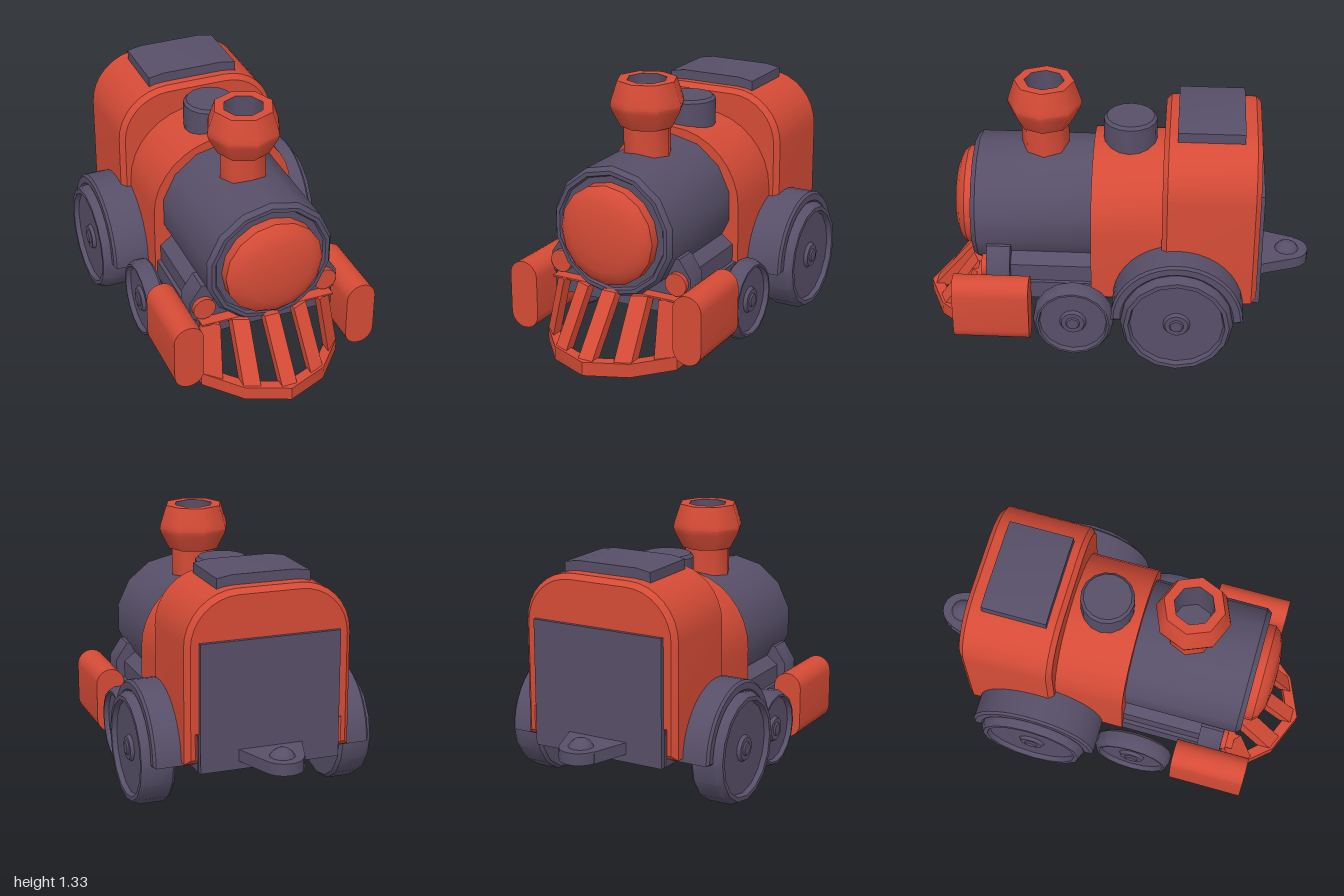
import * as THREE from 'three';
import { toCreasedNormals } from 'three/addons/utils/BufferGeometryUtils.js';

export function createModel() {
  const train = new THREE.Group();
  train.name = 'toyTrain';
  const red = new THREE.MeshStandardMaterial({ color: 0xd54b36 });
  red.name = 'red';
  const slate = new THREE.MeshStandardMaterial({ color: 0x574f68 });
  slate.name = 'slate';

  const add = (name, geo, mat, x = 0, y = 0, z = 0) => {
    const mesh = new THREE.Mesh(geo, mat);
    mesh.name = name;
    mesh.position.set(x, y, z);
    train.add(mesh);
    return mesh;
  };
  const box = (w, h, d) => new THREE.BoxGeometry(w, h, d);
  const lathe = (pts, sides, crease = 0.6) => toCreasedNormals(
    new THREE.LatheGeometry(pts.map(p => new THREE.Vector2(...p)), sides), crease);
  const polygon = pts => new THREE.Shape(pts.map(p => new THREE.Vector2(...p)));
  const mirrored = half => [...half, ...half.filter(p => p[0] !== 0).reverse().map(([x, y]) => [-x, y])];
  const extrude = (shape, depth, bevel = 0, curveSegments = 4) => {
    const geo = new THREE.ExtrudeGeometry(shape, {
      depth: depth - 2 * bevel, curveSegments, bevelEnabled: bevel > 0,
      bevelThickness: bevel, bevelSize: bevel, bevelOffset: -bevel, bevelSegments: 1,
    });
    geo.translate(0, 0, bevel);
    return toCreasedNormals(geo, 0.6);
  };
  // Upright outline with rounded top corners and an optional notch [halfWidth, top] below
  const arch = (w, bottom, top, r, notch) => {
    const s = new THREE.Shape();
    s.moveTo(-w, bottom);
    if (notch) {
      s.lineTo(-notch[0], bottom);
      s.lineTo(-notch[0], notch[1]);
      s.lineTo(notch[0], notch[1]);
      s.lineTo(notch[0], bottom);
    }
    s.lineTo(w, bottom);
    s.lineTo(w, top - r);
    s.absarc(w - r, top - r, r, 0, Math.PI / 2);
    s.absarc(r - w, top - r, r, Math.PI / 2, Math.PI);
    return s;
  };

  // Boiler with recessed front and domed door
  const boiler = lathe([[0, 0], [0.332, 0], [0.332, 0.585], [0.314, 0.61], [0.294, 0.61],
    [0.285, 0.595], [0, 0.595]], 14).rotateX(Math.PI / 2);
  add('boiler', boiler, slate, 0, 0.65, 0.11);
  const door = lathe([[0, 0], [0.252, 0], [0.252, 0.06], [0.225, 0.09], [0.17, 0.112],
    [0.09, 0.124], [0, 0.127]], 16).rotateX(Math.PI / 2);
  add('boilerDoor', door, red, 0, 0.65, 0.7);

  // Firebox, cab open underneath, cab floor, rear panel and roof hatch
  add('firebox', extrude(arch(0.375, 0.29, 1.02, 0.37), 0.37), red, 0, 0, -0.26);
  add('cab', extrude(arch(0.422, 0.31, 1.15, 0.265, [0.35, 0.44]), 0.48, 0.025), red, 0, 0, -0.725);
  add('cabFloor', box(0.72, 0.03, 0.46), slate, 0, 0.445, -0.485);
  add('rearPanel', box(0.71, 0.64, 0.03), slate, 0, 0.59, -0.73);
  add('roofHatch', extrude(polygon(mirrored([[0.237, 1.12], [0.237, 1.187], [0.16, 1.2]])), 0.33),
    slate, 0, 0, -0.64);

  // Steam dome
  add('steamDome', lathe([[0, 0.95], [0.135, 0.95], [0.135, 1.13], [0.12, 1.145], [0, 1.145]], 16),
    slate, 0, 0, -0.07);

  // Flared octagonal chimney with a dark lining
  add('chimney', lathe([[0.12, 0.9], [0.12, 1.1], [0.135, 1.1], [0.18, 1.185], [0.187, 1.21], [0.182, 1.235],
    [0.15, 1.33], [0.1, 1.33]], 8, 0.8), red, 0, 0, 0.36);
  add('chimneyLining', lathe([[0.1, 1.33], [0.1, 1.1], [0, 1.1]], 8, 0.8), slate, 0, 0, 0.36);

  // Chassis frame: front and rear rails, cross members, firebox pan and rear beam
  for (const side of [1, -1]) {
    add('frontRail', box(0.05, 0.095, 0.55), slate, side * 0.34, 0.313, 0.375);
    add('rearRail', box(0.03, 0.17, 0.46), slate, side * 0.345, 0.355, -0.48);
  }
  for (const z of [0.61, 0.14]) add('frameCrossMember', box(0.73, 0.095, 0.08), slate, 0, 0.313, z);
  add('fireboxPan', box(0.72, 0.05, 0.36), slate, 0, 0.3, -0.065);
  add('rearBeam', box(0.7, 0.06, 0.1), slate, 0, 0.3, -0.69);

  // Boiler saddle and cylinder bracket
  add('saddle', extrude(polygon(mirrored([[0.345, 0.33], [0.345, 0.45], [0.28, 0.5]])), 0.54), slate, 0, 0, 0.1);
  add('cylinderBracket', extrude(polygon(mirrored([[0.39, 0.36], [0.39, 0.46], [0.33, 0.55]])), 0.12),
    slate, 0, 0, 0.52);

  // Wheels with a raised rim and hub, axis along x
  const wheelGeo = (r, w) => lathe([[0, 0], [r - 0.015, 0], [r, 0.015], [r, w - 0.035], [r - 0.018, w],
    [r * 0.86, w], [r * 0.83, w - 0.025], [0.068, w - 0.025], [0.058, w - 0.008], [0.036, w - 0.008],
    [0.03, w], [0, w]], 16).rotateZ(-Math.PI / 2);
  const wheels = [
    { name: 'rearWheel', geo: wheelGeo(0.281, 0.17), x: 0.43, y: 0.285, z: -0.33 },
    { name: 'frontWheel', geo: wheelGeo(0.204, 0.096), x: 0.414, y: 0.21, z: 0.195 },
  ];
  for (const { name, geo, x, y, z } of wheels) {
    for (const side of [1, -1]) {
      add(name, geo, slate, side * x, y, z).rotation.y = side > 0 ? 0 : Math.PI;
    }
  }

  // Half-round fenders closed down to the rear wheels
  const fenderShape = new THREE.Shape();
  fenderShape.moveTo(0.33, -0.01);
  fenderShape.absarc(0, 0, 0.33, 0, Math.PI);
  fenderShape.lineTo(-0.33, -0.01);
  fenderShape.lineTo(-0.272, -0.01);
  fenderShape.absarc(0, 0, 0.272, Math.PI, 0, true);
  fenderShape.lineTo(0.272, -0.01);
  const fender = extrude(fenderShape, 0.22, 0.012, 10).rotateY(Math.PI / 2);
  fender.translate(-0.11, 0, 0);

  // Side cylinders with a stadium section, and headlamps
  const cylinderShape = new THREE.Shape();
  cylinderShape.absarc(0, 0.1, 0.076, 0, Math.PI);
  cylinderShape.absarc(0, -0.1, 0.076, Math.PI, Math.PI * 2);
  const cylinder = extrude(cylinderShape, 0.385, 0, 6);
  const lamp = new THREE.CylinderGeometry(0.058, 0.058, 0.09, 14).rotateX(Math.PI / 2);
  for (const side of [1, -1]) {
    add('fender', fender, slate, side * 0.45, 0.29, -0.33);
    add('sideCylinder', cylinder, red, side * 0.457, 0.27, 0.415);
    add('headlamp', lamp, red, side * 0.323, 0.428, 0.62);
  }

  // Cowcatcher: bowed bottom rail, slanted slats skewed to follow it, and a thin top strip
  const rail = polygon([[-0.367, 0.67], [-0.367, 0.73], [-0.21, 0.91], [0, 0.998], [0.21, 0.91], [0.367, 0.73],
    [0.367, 0.67], [0.32, 0.67], [0.32, 0.71], [0.18, 0.865], [0, 0.94], [-0.18, 0.865], [-0.32, 0.71], [-0.32, 0.67]]);
  add('catcherRail', extrude(rail, 0.07).rotateX(Math.PI / 2), red, 0, 0.09, 0);
  const slat = (xb, zb, xt, zt, skew) => {
    const geo = box(0.078, 0.28, 0.07);
    const p = geo.attributes.position;
    for (let i = 0; i < p.count; i++) {
      const top = p.getY(i) > 0;
      p.setZ(i, p.getZ(i) + (top ? zt : zb) + skew * p.getX(i));
      p.setX(i, p.getX(i) + (top ? xt : xb));
    }
    geo.computeVertexNormals();
    return geo;
  };
  const slats = [[0, 0.942, 0, 0.71, 0], [0.173, 0.883, 0.158, 0.69, -0.42], [0.325, 0.738, 0.305, 0.655, -1]];
  for (const [xb, zb, xt, zt, skew] of slats) {
    for (const side of xb ? [1, -1] : [1]) {
      add('catcherSlat', slat(side * xb, zb, side * xt, zt, side * skew), red, 0, 0.22, 0);
    }
  }
  add('catcherTop', box(0.7, 0.009, 0.06), red, 0, 0.357, 0.67);

  // Rear coupling plate with a domed pin
  const plate = new THREE.Shape();
  plate.moveTo(-0.17, -0.72);
  plate.lineTo(-0.1, -0.93);
  plate.absarc(0, -0.9, 0.1, Math.PI * 1.09, Math.PI * 1.91);
  plate.lineTo(0.17, -0.72);
  add('couplingPlate', extrude(plate, 0.06).rotateX(Math.PI / 2), slate, 0, 0.37, 0);
  add('couplingDome', new THREE.SphereGeometry(0.068, 12, 4, 0, Math.PI * 2, 0, Math.PI / 2), slate, 0, 0.343, -0.89);

  return train;
}
